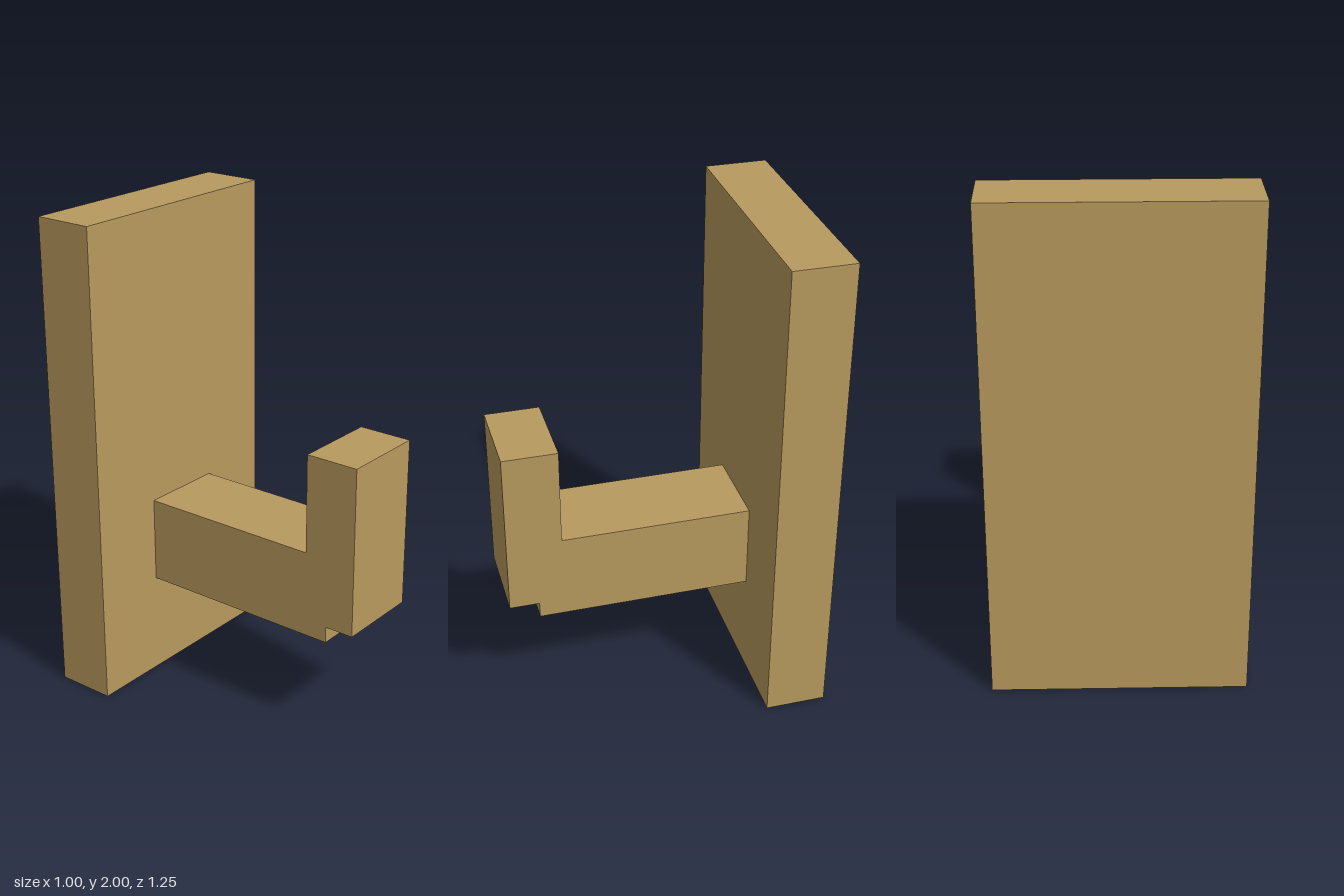
import * as THREE from 'three';

export function createModel() {
  const group = new THREE.Group();
  const wood = new THREE.MeshStandardMaterial({ color: 0xb89a5e });
  wood.name = 'wood';

  // Upright wall plate
  const plate = new THREE.Mesh(new THREE.BoxGeometry(1, 2, 0.25), wood);
  plate.name = 'backPlate';
  plate.position.set(0, 1, -0.5);
  group.add(plate);

  // Hook: arm with upturned tip, side profile as (z, y), extruded across x
  const width = 0.356;
  const profile = new THREE.Shape([
    [-0.375, 0.425], [0.503, 0.425], [0.503, 0.492], [0.625, 0.492],
    [0.625, 1.192], [0.402, 1.192], [0.402, 0.784], [-0.375, 0.784],
  ].map(([z, y]) => new THREE.Vector2(z, y)));
  const hookGeometry = new THREE.ExtrudeGeometry(profile, { depth: width, bevelEnabled: false });
  hookGeometry.translate(0, 0, -width / 2).rotateY(-Math.PI / 2);
  const hook = new THREE.Mesh(hookGeometry, wood);
  hook.name = 'hook';
  group.add(hook);

  return group;
}
